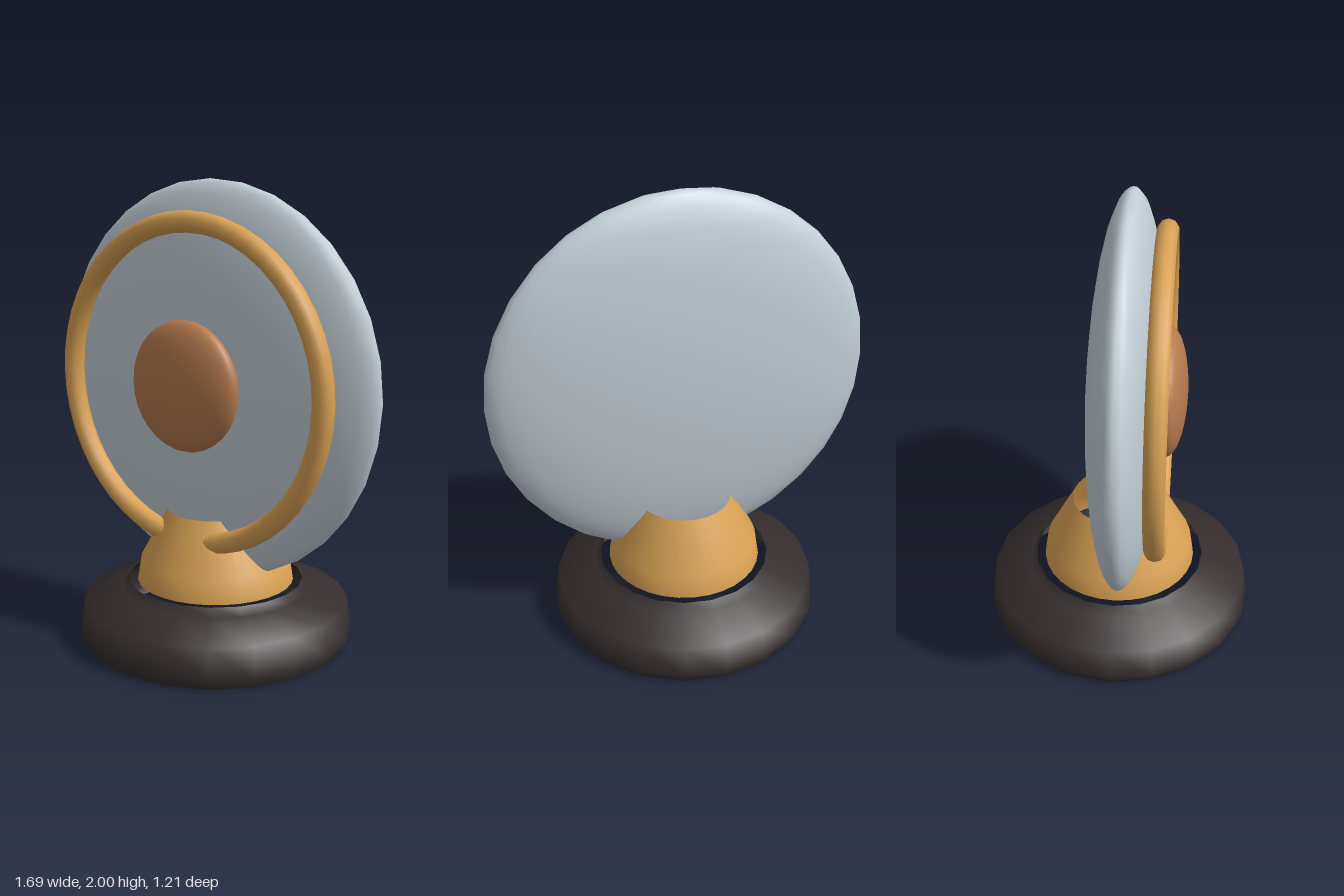
import * as THREE from 'three';

const mat = (name, color, side = THREE.FrontSide) => {
  const m = new THREE.MeshStandardMaterial({ color, side });
  m.name = name;
  return m;
};

export function createModel() {
  const group = new THREE.Group();
  const silver = mat('silver', 0xc3ced6);
  const gold = mat('gold', 0xd9a154, THREE.DoubleSide);
  const copper = mat('copper', 0xb57a4e);
  const dark = mat('dark wood', 0x352d2e, THREE.DoubleSide);

  const add = (name, geometry, material, x = 0, y = 0, z = 0) => {
    const mesh = new THREE.Mesh(geometry, material);
    mesh.name = name;
    mesh.position.set(x, y, z);
    group.add(mesh);
    return mesh;
  };
  const lathe = (points, segments) =>
    new THREE.LatheGeometry(points.map(([r, y]) => new THREE.Vector2(r, y)), segments);

  // Open turned base and the hollow pedestal standing on its rim
  add('base', lathe([[0.58, 0], [0.605, 0.05], [0.585, 0.18], [0.415, 0.235], [0.385, 0.27]], 20), dark);
  add('pedestal', lathe([[0.345, 0.265], [0.33, 0.36], [0.21, 0.585]], 32), gold);

  // Flattened round disc, sunk into the pedestal
  const centre = 1.155;
  add('disc', new THREE.SphereGeometry(1, 32, 16), silver, 0, centre, 0.035).scale.set(0.845, 0.845, 0.16);

  // Ring on the front face and the boss at its middle
  add('ring', new THREE.TorusGeometry(0.675, 0.045, 10, 48), gold, 0, centre, 0.182);
  add('boss', new THREE.SphereGeometry(1, 32, 16), copper, 0, centre, 0.205).scale.set(0.278, 0.278, 0.087);

  return group;
}
